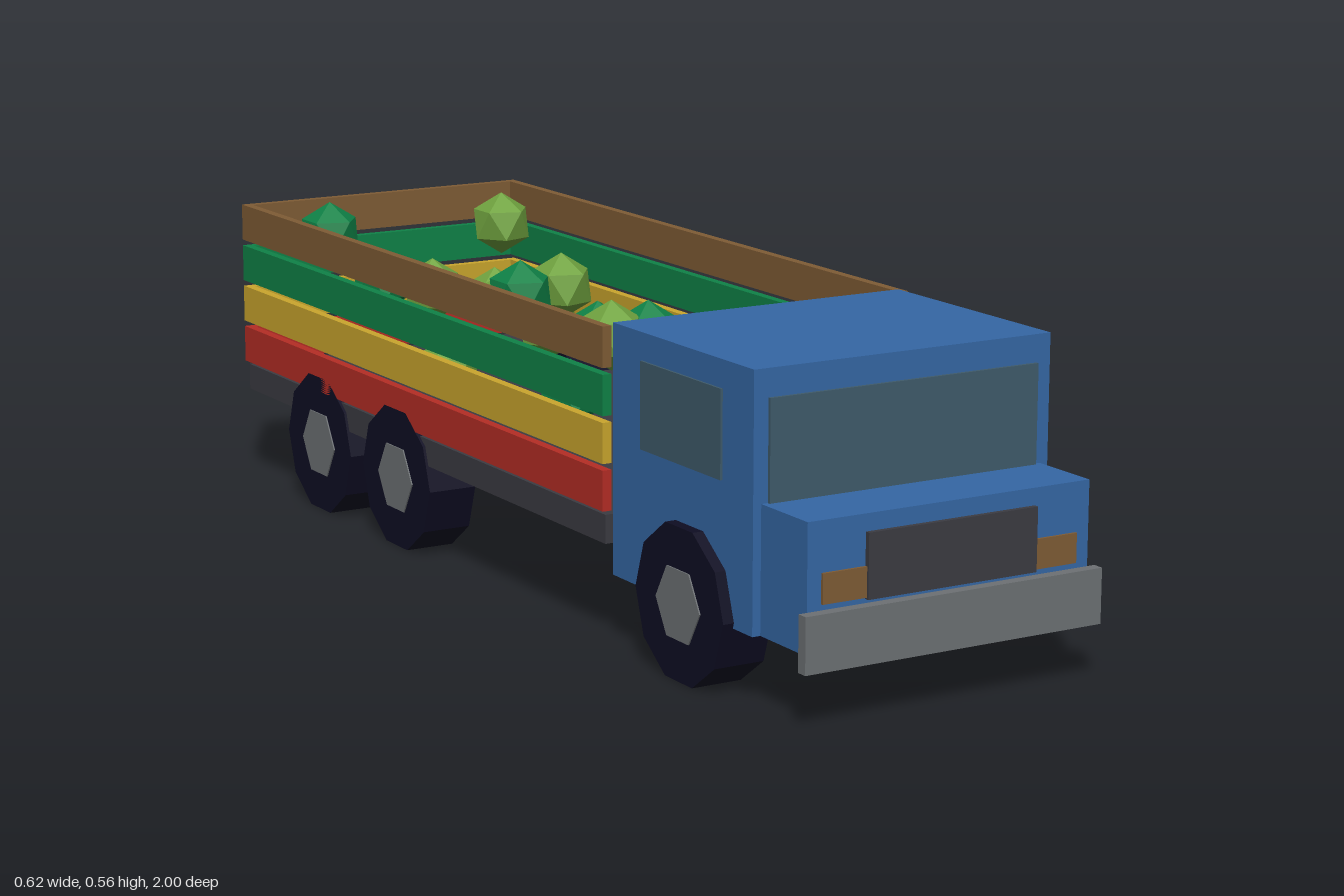
import * as THREE from 'three';

function mat(name, color) {
  const m = new THREE.MeshStandardMaterial({ color });
  m.name = name;
  return m;
}

export function createModel() {
  const model = new THREE.Group();
  model.name = 'truck';

  const blue = mat('cabBlue', 0x3567a5);
  const glass = mat('glass', 0x3f5b6b);
  const grey = mat('metalGrey', 0x6d7174);
  const charcoal = mat('charcoal', 0x3c3b42);
  const brown = mat('brown', 0x7f5c35);
  const green = mat('green', 0x0f8247);
  const yellow = mat('yellow', 0xcaa62d);
  const red = mat('red', 0xb52d25);
  const tyre = mat('tyreBlack', 0x0e0d23);
  const leaf = mat('lightGreen', 0x70a33f);

  function add(name, geometry, material, parent = model) {
    const mesh = new THREE.Mesh(geometry, material);
    mesh.name = name;
    parent.add(mesh);
    return mesh;
  }

  // Box given by its minimum and maximum on each axis
  function box(name, material, [x0, x1], [y0, y1], [z0, z1], parent = model) {
    const mesh = add(name, new THREE.BoxGeometry(x1 - x0, y1 - y0, z1 - z0), material, parent);
    mesh.position.set((x0 + x1) / 2, (y0 + y1) / 2, (z0 + z1) / 2);
    return mesh;
  }

  // Cab and bonnet
  box('cab', blue, [-0.285, 0.285], [0.12, 0.55], [0.415, 0.848]);
  box('bonnet', blue, [-0.27, 0.27], [0.12, 0.334], [0.848, 0.98]);
  box('bumper', grey, [-0.285, 0.285], [0.096, 0.19], [0.98, 1.0]);
  box('grille', charcoal, [-0.162, 0.162], [0.197, 0.305], [0.98, 0.989]);
  box('windscreen', glass, [-0.258, 0.258], [0.33, 0.503], [0.847, 0.854]);
  for (const s of [-1, 1]) {
    const lamp = box('headlight', brown, [-0.0415, 0.0415], [0.2, 0.25], [0.979, 0.985]);
    lamp.position.x = s * 0.2025;
    const win = box('sideWindow', glass, [-0.004, 0.004], [0.355, 0.503], [0.51, 0.757]);
    win.position.x = s * 0.285;
  }

  // Load bed
  box('bedFloor', charcoal, [-0.3, 0.3], [0.175, 0.225], [-0.992, 0.415]);

  // Coloured slats on both sides and the tail
  [['red', red], ['yellow', yellow], ['green', green], ['brown', brown]].forEach(([name, material], i) => {
    const slats = new THREE.Group();
    slats.name = name + 'Slats';
    model.add(slats);
    const y = [0.231 + i * 0.0813, 0.301 + i * 0.0813];
    box('leftSlat', material, [0.288, 0.305], y, [-1, 0.415], slats);
    box('rightSlat', material, [-0.305, -0.288], y, [-1, 0.415], slats);
    box('tailSlat', material, [-0.288, 0.288], y, [-1, -0.983], slats);
  });

  // Wheels: ten-sided tyre with a six-sided hub
  const tyreGeo = new THREE.CylinderGeometry(0.136, 0.136, 0.093, 10).toNonIndexed();
  const hubGeo = new THREE.CylinderGeometry(0.068, 0.068, 0.098, 6).toNonIndexed();
  for (const g of [tyreGeo, hubGeo]) {
    g.rotateZ(Math.PI / 2);
    g.computeVertexNormals();
  }
  for (const z of [0.658, -0.345, -0.668]) {
    for (const s of [-1, 1]) {
      const wheel = new THREE.Group();
      wheel.name = 'wheel';
      wheel.position.set(s * 0.2585, 0.1295, z);
      add('tyre', tyreGeo, tyre, wheel);
      add('hub', hubGeo, grey, wheel);
      model.add(wheel);
    }
  }

  // Loose round cargo, one corner pointing up
  const ballGeo = new THREE.IcosahedronGeometry(0.062, 0);
  ballGeo.rotateZ(-Math.atan(2 / (1 + Math.sqrt(5))));
  ballGeo.computeVertexNormals();
  const darkBalls = [
    [-0.188, 0.5, -0.846], [-0.12, 0.413, -0.76], [0.066, 0.38, -0.242],
    [-0.172, 0.5, -0.105], [-0.13, 0.335, 0], [-0.087, 0.47, 0.197],
  ];
  const lightBalls = [
    [0.2, 0.485, -0.86], [-0.045, 0.4, -0.69], [0.183, 0.325, -0.69], [0.05, 0.386, -0.613],
    [0.003, 0.415, -0.454], [0.066, 0.36, -0.428], [-0.2, 0.325, -0.332], [-0.018, 0.48, -0.23],
    [0.193, 0.345, -0.18], [0.082, 0.36, -0.088], [0.103, 0.365, 0.14], [-0.167, 0.48, 0.208],
  ];
  for (const p of darkBalls) add('darkCargoBall', ballGeo, green).position.set(...p);
  for (const p of lightBalls) add('lightCargoBall', ballGeo, leaf).position.set(...p);

  return model;
}
